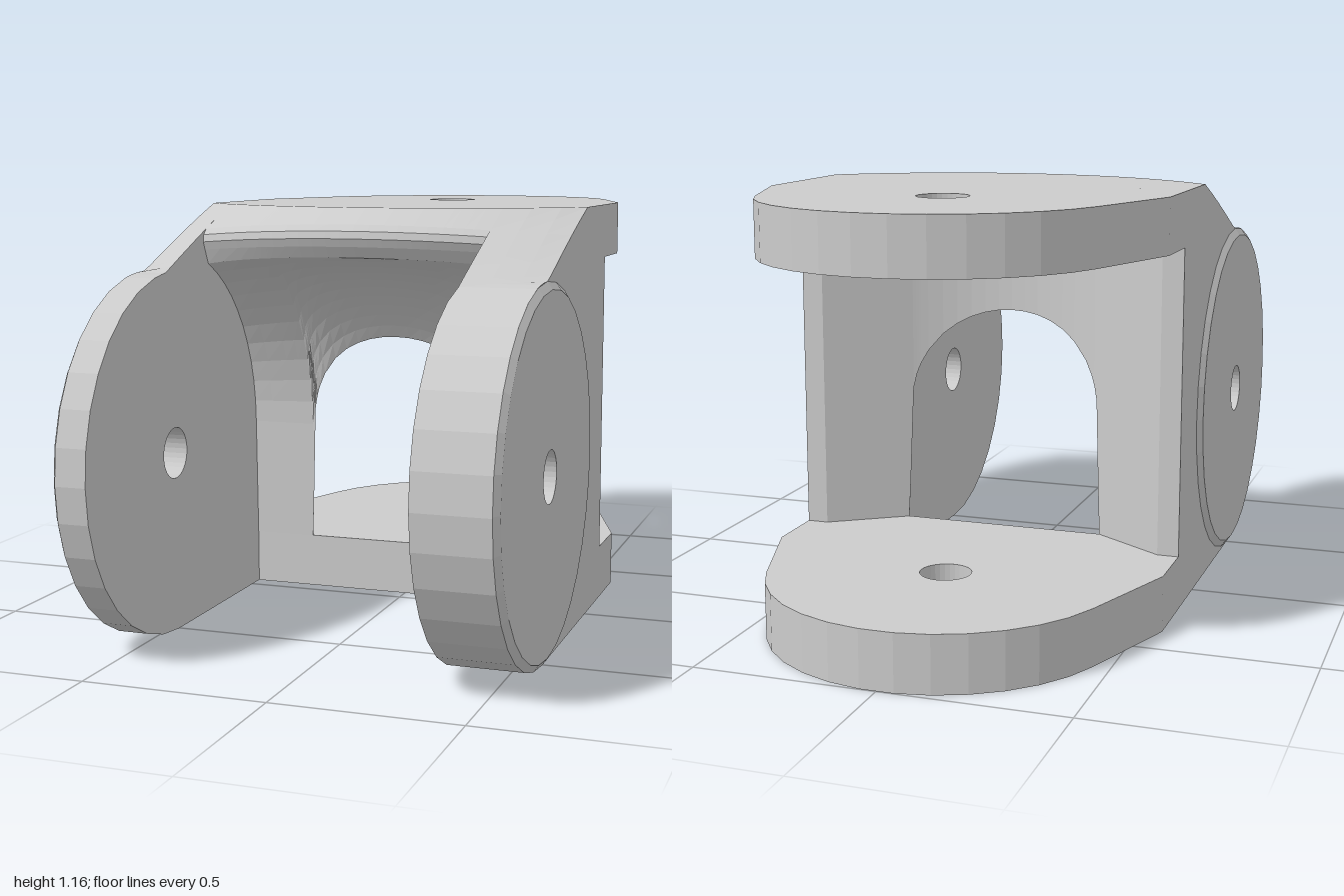
import * as THREE from 'three';

const HEIGHT = 1.16, PLATE = 0.155, HALF = 0.56;
const PIVOT_Z = -0.52;                       // vertical pin axis
const EAR = { z: 0.505, y: 0.496, r: 0.495 }; // horizontal pin axis
const HOLE = 0.07, CUT = 0.548, WEB_Z = -0.05;

const mat = new THREE.MeshStandardMaterial({ color: 0xcccccc, flatShading: true });

// Back clearance: round in the middle, straight flares to the sides
function backZ(x) {
  const a = Math.abs(x);
  if (a < 0.28) return PIVOT_Z + Math.sqrt(0.555 ** 2 - a * a);
  return Math.max(-0.19, THREE.MathUtils.mapLinear(a, 0.28, 0.5, -0.041, -0.19));
}

// Sloped conical shoulder around the vertical pin
const shoulderY = (x, z) => Math.min(HEIGHT, HEIGHT - 0.467 * (Math.hypot(x, z - PIVOT_Z) - 0.8));
const shoulderZ = (x) => PIVOT_Z + Math.sqrt(0.64 - x * x);

// Lowest point of the web at x: the window edge or the bottom plate
function webStartY(x) {
  const z = backZ(x), z5 = EAR.z - CUT;
  if (z > z5) return 0.5 + Math.sqrt(CUT ** 2 - (EAR.z - z) ** 2);
  return Math.max(PLATE, THREE.MathUtils.mapLinear(z, WEB_Z, z5, PLATE, 0.5));
}

// Solid through [z, y] loops at stations along x, with an optional through hole
function loft(name, xs, loopAt, hole) {
  const pos = [];
  const put = (x, p) => pos.push(x, p[1], p[0]);
  const wall = (x0, l0, x1, l1) => l0.forEach((a, j) => {
    const k = (j + 1) % l0.length;
    put(x0, a); put(x1, l1[j]); put(x1, l1[k]);
    put(x0, a); put(x1, l1[k]); put(x0, l0[k]);
  });
  const loops = xs.map(loopAt), last = xs.length - 1;
  for (let i = 0; i < last; i++) wall(xs[i], loops[i], xs[i + 1], loops[i + 1]);
  if (hole) wall(xs[0], hole, xs[last], hole);
  for (const i of [0, last]) {
    const v2 = (l) => l.map((p) => new THREE.Vector2(p[0], p[1]));
    const all = hole ? [...loops[i], ...hole] : loops[i];
    for (const f of THREE.ShapeUtils.triangulateShape(v2(loops[i]), hole ? [v2(hole)] : [])) {
      for (const n of i ? [f[2], f[1], f[0]] : f) put(xs[i], all[n]);
    }
  }
  const g = new THREE.BufferGeometry();
  g.setAttribute('position', new THREE.Float32BufferAttribute(pos, 3));
  g.computeVertexNormals();
  const mesh = new THREE.Mesh(g, mat);
  mesh.name = name;
  return mesh;
}

// Section of the web and overhanging lip
function webLoop(x) {
  const y0 = webStartY(x), y1 = Math.max(y0, 0.5);
  const lip = 0.39 - 0.37 * x * x;
  const bz = backZ(x);
  const pts = [[bz, y0]];
  if (y0 < 0.5) pts.push([THREE.MathUtils.mapLinear(y0, PLATE, 0.5, WEB_Z, EAR.z - CUT), y0]);
  else pts.push([bz, y0]);
  const t0 = Math.asin((y1 - 0.5) / CUT), t1 = Math.acos((EAR.z - lip + 0.03) / CUT);
  for (let i = 0; i <= 10; i++) {
    const t = t0 + (t1 - t0) * i / 10;
    pts.push([EAR.z - CUT * Math.cos(t), 0.5 + CUT * Math.sin(t)]);
  }
  const top = shoulderY(x, lip);
  pts.push([lip - 0.01, top - 0.05], [lip, top - 0.028], [lip - 0.004, top - 0.008],
    [lip - 0.02, shoulderY(x, lip - 0.02)]);
  pts.push([shoulderZ(x), HEIGHT], [bz, HEIGHT]);
  return pts;
}

// Section of a side ear: round nose, then the shoulder
function earLoop(x) {
  const pts = [[backZ(x), 0]];
  for (let i = 0; i <= 15; i++) {
    const t = -Math.PI / 2 + (i / 15) * THREE.MathUtils.degToRad(168);
    pts.push([EAR.z + EAR.r * Math.cos(t), Math.max(0, EAR.y + EAR.r * Math.sin(t))]);
  }
  const zc = shoulderZ(x);
  for (const z of [0.57, 0.54, 0.505, 0.47, 0.43]) {
    const round = EAR.y + Math.sqrt(EAR.r ** 2 - Math.max(0, z - EAR.z) ** 2);
    pts.push([z, Math.max(round, shoulderY(x, z))]);
  }
  for (let i = 1; i <= 4; i++) {
    const z = 0.43 + (zc - 0.43) * i / 4;
    pts.push([z, shoulderY(x, z)]);
  }
  pts.push([backZ(x), HEIGHT]);
  return pts;
}

// Tongue-shaped plate with pin hole; front is a list of [x, z] from left to right
function plate(name, y, h, front) {
  const s = new THREE.Shape();
  s.moveTo(-HALF, 0.37);
  for (const [x, z] of front) s.lineTo(x, -z);
  s.lineTo(HALF, 0.37);
  const a = THREE.MathUtils.degToRad(19);
  for (let i = 0; i <= 13; i++) {
    const t = a + (Math.PI - 2 * a) * i / 13;
    s.lineTo(0.48 * Math.cos(t), -PIVOT_Z + 0.48 * Math.sin(t));
  }
  s.closePath();
  s.holes.push(new THREE.Path().absarc(0, -PIVOT_Z, HOLE, 0, Math.PI * 2, true));
  const g = new THREE.ExtrudeGeometry(s, { depth: h, bevelEnabled: false, curveSegments: 16 });
  g.rotateX(-Math.PI / 2).translate(0, y, 0);
  const mesh = new THREE.Mesh(g, mat);
  mesh.name = name;
  return mesh;
}

export function createModel() {
  const model = new THREE.Group();
  model.name = 'clevisBracket';

  // Plates
  const half = [0, 0.04, 0.08, 0.12, 0.16, 0.2, 0.24, 0.26, 0.28];
  const mirror = (list) => [...list.slice(1).reverse().map((v) => -v), ...list];
  const rear = mirror([...half, 0.5, HALF]).map((x) => [x, backZ(x)]);
  model.add(plate('topPlate', HEIGHT - 0.15, 0.15, rear));
  model.add(plate('bottomPlate', 0, PLATE, [[-HALF, WEB_Z], [HALF, WEB_Z]]));

  // Web with arched window
  const mid = mirror([...half, 0.265, 0.272, 0.29, 0.295, 0.32, 0.36].sort((a, b) => a - b));
  model.add(loft('web', [-0.475, -0.42, ...mid], webLoop));

  // Side ears with pin holes (hole loop runs clockwise)
  const hole = Array.from({ length: 32 }, (_, i) => {
    const t = -i / 32 * Math.PI * 2;
    return [EAR.z + HOLE * Math.cos(t), EAR.y + HOLE * Math.sin(t)];
  });
  model.add(loft('rightEar', [-HALF, -0.5, -0.475], earLoop, hole));
  model.add(loft('leftEar', [0.36, 0.43, 0.5, HALF], earLoop, hole));

  // Chamfered round bosses on the outer faces
  const profile = [[EAR.r, 0], [0.475, 0.014], [HOLE, 0.014], [HOLE, 0]];
  for (const side of [-1, 1]) {
    const g = new THREE.LatheGeometry(profile.map((p) => new THREE.Vector2(...p)), 32);
    const boss = new THREE.Mesh(g, mat);
    boss.rotation.z = -side * Math.PI / 2;
    boss.position.set(side * HALF, EAR.y, EAR.z);
    boss.name = side > 0 ? 'leftBoss' : 'rightBoss';
    model.add(boss);
  }
  return model;
}
